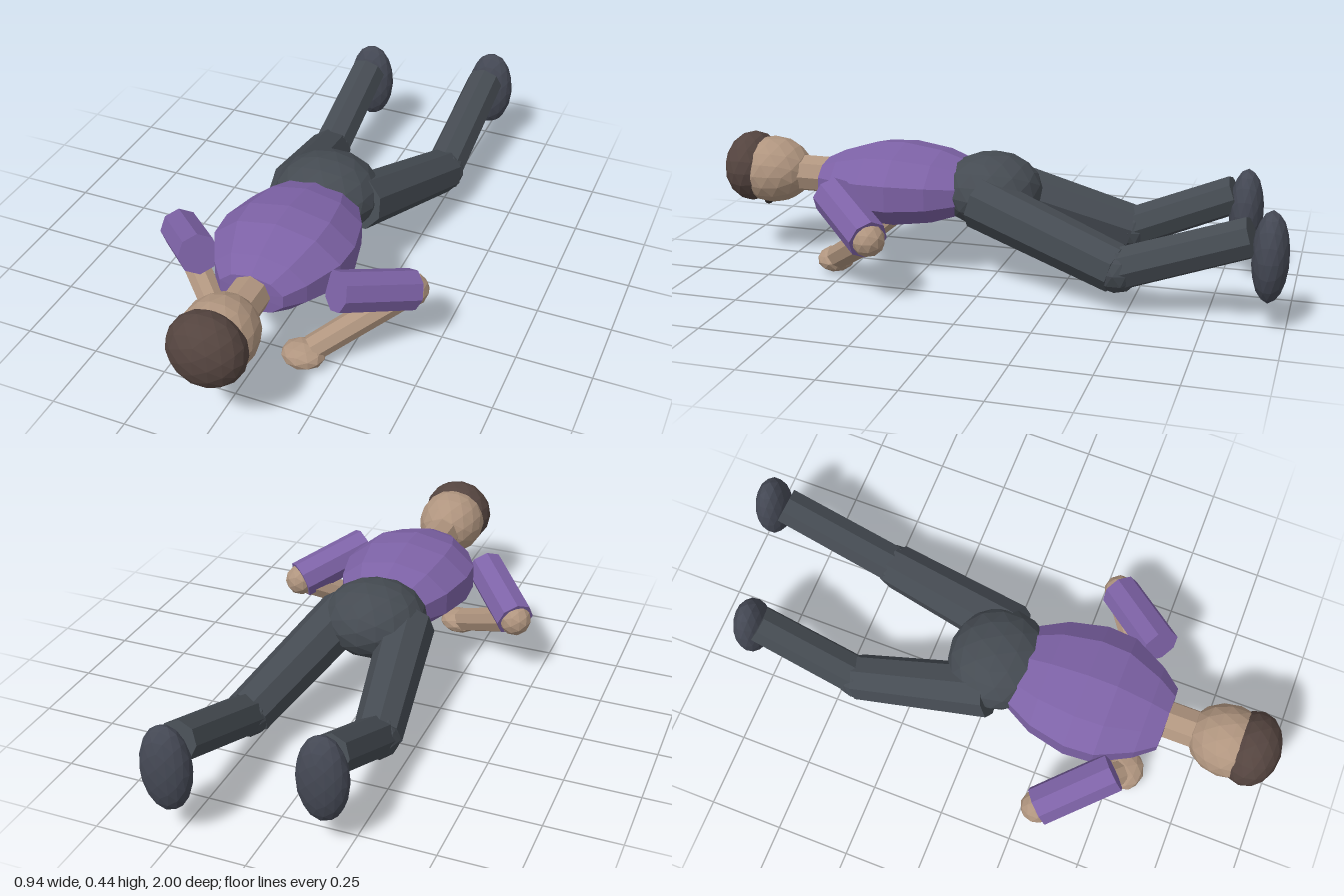
import * as THREE from 'three';

const mat = (name, color) => {
  const m = new THREE.MeshStandardMaterial({ color, flatShading: true });
  m.name = name;
  return m;
};

export function createModel() {
  const shirt = mat('purple shirt', 0x7d62a6);
  const skin = mat('skin', 0xb0957f);
  const trousers = mat('dark trousers', 0x454b52);
  const shoes = mat('dark shoes', 0x444854);
  const hair = mat('brown hair', 0x54443f);
  const dark = mat('dark eyes', 0x2a2422);

  const model = new THREE.Group();
  model.name = 'lyingFigure';
  const V = (a) => new THREE.Vector3(...a);

  const add = (name, geometry, material, parent = model) => {
    const mesh = new THREE.Mesh(geometry, material);
    mesh.name = name;
    parent.add(mesh);
    return mesh;
  };

  // Faceted ellipsoid
  const blob = (name, material, pos, radii, parent, detail = 2) => {
    const mesh = add(name, new THREE.IcosahedronGeometry(1, detail), material, parent);
    mesh.position.set(...pos);
    mesh.scale.set(...radii);
    return mesh;
  };

  // Eight-sided limb segment between two points
  const limb = (name, material, from, to, r0, r1, parent) => {
    const a = V(from), b = V(to), dir = b.clone().sub(a);
    const mesh = add(name, new THREE.CylinderGeometry(r1, r0, dir.length(), 8), material, parent);
    mesh.position.copy(a).add(b).multiplyScalar(0.5);
    mesh.quaternion.setFromUnitVectors(new THREE.Vector3(0, 1, 0), dir.normalize());
    return mesh;
  };

  // Torso: ten-sided profile turned to run along z, flattened in y
  const profile = [[0, 0.08], [0.15, 0.1], [0.205, 0.2], [0.235, 0.33], [0.228, 0.43], [0.165, 0.55], [0.112, 0.615], [0, 0.62]];
  const torsoGeo = new THREE.LatheGeometry(profile.map(([r, z]) => new THREE.Vector2(r, z)), 10);
  torsoGeo.rotateX(Math.PI / 2);
  torsoGeo.scale(1, 0.6, 1);
  torsoGeo.translate(0, 0.297, 0);
  add('torso', torsoGeo, shirt);

  // Pelvis
  blob('pelvis', trousers, [0, 0.297, 0.02], [0.18, 0.128, 0.172]);

  // Neck, head, hair and face-down eyes
  limb('neck', skin, [0, 0.3, 0.55], [0, 0.3, 0.74], 0.065, 0.065);
  blob('head', skin, [0, 0.305, 0.828], [0.122, 0.118, 0.14]);
  blob('hair', hair, [0, 0.312, 0.905], [0.128, 0.124, 0.096]);
  for (const s of [1, -1]) {
    blob('eye', dark, [s * 0.043, 0.2, 0.835], [0.015, 0.012, 0.015], model, 1);
  }

  // Arms, mirrored
  for (const s of [1, -1]) {
    const arm = new THREE.Group();
    arm.name = s > 0 ? 'leftArm' : 'rightArm';
    model.add(arm);
    const shoulder = [s * 0.235, 0.302, 0.51];
    const elbow = [s * 0.412, 0.22, 0.313];
    const wrist = [s * 0.16, 0.058, 0.525];
    limb('sleeve', shirt, shoulder, elbow, 0.068, 0.068, arm);
    blob('elbow', skin, elbow, [0.056, 0.056, 0.056], arm, 1);
    limb('forearm', skin, elbow, wrist, 0.047, 0.044, arm);
    blob('hand', skin, [s * 0.138, 0.043, 0.542], [0.073, 0.043, 0.064], arm, 1);
  }

  // Legs, posed separately
  const legs = [
    { name: 'leftLeg', hip: [0.115, 0.285, 0.03], knee: [0.248, 0.142, -0.465], ankle: [0.264, 0.295, -0.885], foot: [0.272, 0.238, -0.942] },
    { name: 'rightLeg', hip: [-0.115, 0.285, 0.03], knee: [-0.186, 0.142, -0.43], ankle: [-0.176, 0.295, -0.785], foot: [-0.172, 0.238, -0.822] },
  ];
  for (const { name, hip, knee, ankle, foot } of legs) {
    const leg = new THREE.Group();
    leg.name = name;
    model.add(leg);
    limb('thigh', trousers, hip, knee, 0.092, 0.08, leg);
    blob('knee', trousers, knee, [0.077, 0.077, 0.077], leg, 1);
    limb('shin', trousers, knee, ankle, 0.07, 0.066, leg);
    blob('shoe', shoes, foot, [0.084, 0.148, 0.058], leg);
  }

  return model;
}
